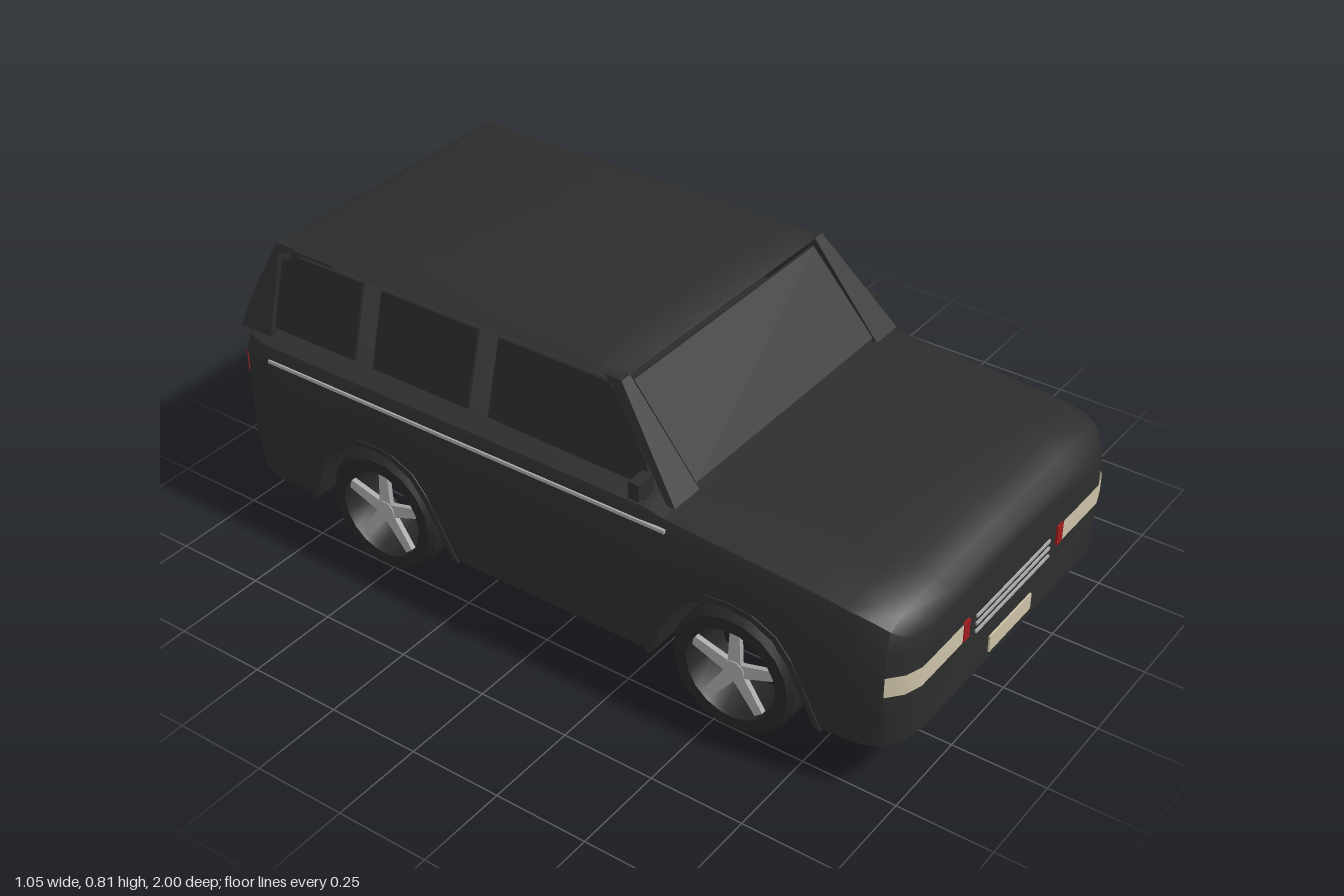
import * as THREE from 'three';
import { toCreasedNormals } from 'three/addons/utils/BufferGeometryUtils.js';

const mat = (name, color, side = THREE.FrontSide) =>
  new THREE.MeshStandardMaterial({ name, color, side });

// Piecewise linear lookup in a table sorted by ascending key
function lookup(table, k) {
  if (k <= table[0][0]) return table[0][1];
  for (let i = 1; i < table.length; i++) {
    const [k0, v0] = table[i - 1], [k1, v1] = table[i];
    if (k <= k1) return v0 + (v1 - v0) * (k - k0) / (k1 - k0);
  }
  return table[table.length - 1][1];
}

// Skin through half-sections (top centre to bottom centre), mirrored in x, z descending
function loft(zs, half) {
  const pos = [], idx = [];
  let n = 0;
  for (const z of zs) {
    const h = half(z);
    const ring = [...h, ...h.slice(1, -1).reverse().map(([x, y]) => [-x, y])];
    n = ring.length;
    for (const [x, y] of ring) pos.push(x, y, z);
  }
  for (let i = 0; i < zs.length - 1; i++)
    for (let j = 0; j < n; j++) {
      const a = i * n + j, b = i * n + (j + 1) % n;
      idx.push(a, b, a + n, b, b + n, a + n);
    }
  const last = (zs.length - 1) * n;
  for (let k = 1; k < n - 1; k++) idx.push(0, k + 1, k, last, last + k, last + k + 1);
  const g = new THREE.BufferGeometry();
  g.setAttribute('position', new THREE.Float32BufferAttribute(pos, 3));
  g.setIndex(idx);
  return toCreasedNormals(g, 0.6);
}

// Side panel from a [z, y] outline, spanning inner(y)..outer(y) on one side
function sidePanel(points, outer, inner, side) {
  const shape = new THREE.Shape(points.map(([z, y]) => new THREE.Vector2(-z, y)));
  const g = new THREE.ExtrudeGeometry(shape, { depth: 1, bevelEnabled: false });
  const p = g.attributes.position;
  for (let i = 0; i < p.count; i++) {
    const y = p.getY(i), t = side > 0 ? p.getZ(i) : 1 - p.getZ(i);
    p.setXYZ(i, side * (inner(y) + (outer(y) - inner(y)) * t), y, -p.getX(i));
  }
  g.computeVertexNormals();
  return g;
}

// Upright strip following a plan path of [x, z] points
function band(path, y0, y1) {
  const g = new THREE.PlaneGeometry(1, 1, path.length - 1, 1), p = g.attributes.position;
  for (let i = 0; i < p.count; i++) {
    const [x, z] = path[i % path.length];
    p.setXYZ(i, x, i < path.length ? y1 : y0, z);
  }
  g.computeVertexNormals();
  return g;
}

export function createModel() {
  const paint = mat('black paint', 0x2d2d2d);
  const glass = mat('dark glass', 0x292929);
  const rubber = mat('tyre rubber', 0x262626);
  const metal = mat('bright metal', 0xa8a8a8);
  const cream = mat('cream lens', 0xcbc1a6, THREE.DoubleSide);
  const red = mat('red lens', 0xa01c1e, THREE.DoubleSide);

  const model = new THREE.Group();
  model.name = 'car';
  const add = (name, geo, material, parent = model) => {
    const m = new THREE.Mesh(geo, material);
    m.name = name;
    parent.add(m);
    return m;
  };
  const box = (name, material, size, at) => {
    const m = add(name, new THREE.BoxGeometry(...size), material);
    m.position.set(...at);
    return m;
  };

  // Lower body with wheel arches cut through its full width
  const axles = [0.55, -0.52];
  const arch = [[0, 0.372], [0.06, 0.365], [0.12, 0.335], [0.16, 0.285], [0.195, 0.21], [0.23, 0.12]];
  const topLine = [[-0.995, 0.5], [-0.985, 0.55], [-0.96, 0.57], [0.3, 0.57], [0.36, 0.56],
    [0.8, 0.532], [0.9, 0.52], [0.95, 0.5], [0.98, 0.475], [0.995, 0.45]];
  const floorLine = [[-0.995, 0.15], [-0.96, 0.125], [-0.9, 0.12], [0.8, 0.12], [0.95, 0.135], [0.995, 0.155]];
  const widthLine = [[0.85, 0.52], [0.9, 0.517], [0.95, 0.502], [0.98, 0.465], [0.995, 0.42]];
  const ends = [0.995, 0.98, 0.95, 0.9, 0.85];
  const stations = [...ends, 0.36, 0.3, 0, ...ends.map(z => -z), -0.96, -0.985];
  for (const c of axles)
    for (const [d] of arch) stations.push(c + d, ...(d ? [c - d] : []));
  const zs = [...new Set(stations)].sort((a, b) => b - a);
  add('body', loft(zs, z => {
    const d = Math.min(...axles.map(c => Math.abs(z - c)));
    const yt = lookup(topLine, z), w = lookup(widthLine, Math.abs(z));
    const yb = d < 0.23 ? lookup(arch, d) : lookup(floorLine, z);
    const ym = Math.max(0.25, yb + 0.01);
    const wb = w - Math.max(0, 0.25 - yb) * 0.14;
    return [[0, yt], [w * 0.6, yt - 0.003], [w * 0.88, yt - 0.01], [w * 0.97, yt - 0.03],
      [w, yt - 0.07], [w, ym], [wb, yb + 0.005], [wb - 0.03, yb], [0, yb]];
  }), paint);

  // Roof slab
  const roofLine = [[-0.895, 0.79], [-0.87, 0.804], [-0.82, 0.815], [0.09, 0.815], [0.14, 0.806], [0.18, 0.79]];
  add('roof', loft(roofLine.map(r => r[0]).reverse(), z => {
    const yt = lookup(roofLine, z), h = yt - 0.785;
    return [[0, yt], [0.2, yt - h * 0.05], [0.33, yt - h * 0.2], [0.388, yt - h * 0.4], [0.416, 0.785], [0, 0.785]];
  }), paint);

  const lean = y => 0.48 - (y - 0.55) * 0.27;
  const windows = [
    ['frontSideGlass', [[0.3, 0.572], [0.275, 0.63], [0.175, 0.745], [0.145, 0.774], [-0.18, 0.774], [-0.18, 0.578]]],
    ['middleSideGlass', [[-0.242, 0.578], [-0.242, 0.774], [-0.545, 0.774], [-0.545, 0.578]]],
    ['rearSideGlass', [[-0.605, 0.578], [-0.605, 0.774], [-0.82, 0.774], [-0.872, 0.75], [-0.872, 0.578]]],
  ];
  for (const s of [1, -1]) {
    const tag = s > 0 ? 'left' : 'right';
    const side = new THREE.Group();
    side.name = tag + 'Side';
    model.add(side);

    // Pillars and side glass
    add('frontPillar', sidePanel([[0.375, 0.552], [0.18, 0.79], [0.13, 0.792], [0.155, 0.772], [0.352, 0.552]],
      y => lean(y) + 0.005, () => 0.388, s), paint, side);
    add('rearPillar', sidePanel([[-0.883, 0.552], [-0.883, 0.762], [-0.84, 0.785], [-0.84, 0.792],
      [-0.893, 0.792], [-0.95, 0.66], [-0.983, 0.552]], y => lean(y) + 0.003, y => lean(y) - 0.045, s), paint, side);
    for (const [name, pts] of windows)
      add(name, sidePanel(pts, lean, y => lean(y) - 0.008, s), glass, side);

    // Wheel arch lips
    for (const c of axles) {
      const right = arch.slice(1).map(([d, y]) => [d, y]);
      const inner = [...right.slice().reverse().map(([d, y]) => [c - d, y]), [c, 0.372], ...right.map(([d, y]) => [c + d, y])];
      const rim = inner.map(([z, y]) => [c + (z - c) * 1.07, y === 0.12 ? y : y + 0.016]).reverse();
      const out = y => 0.523 - Math.max(0, 0.25 - y) * 0.14;
      add('archLip', sidePanel([...inner, ...rim], out, y => out(y) - 0.02, s), paint, side);
    }

    // Door mirror
    box(tag + 'Mirror', paint, [0.058, 0.046, 0.03], [s * 0.492, 0.583, 0.285]);
    box(tag + 'MirrorArm', paint, [0.03, 0.03, 0.02], [s * 0.475, 0.553, 0.285]);

    // Bright side strip
    box(tag + 'SideStrip', metal, [0.008, 0.009, 1.23], [s * 0.517, 0.506, -0.245]);

    // Lights wrapping around the corners
    const head = [[0.24, 0.999], [0.421, 0.999], [0.468, 0.984], [0.506, 0.952]];
    const tail = [[0.31, -0.999], [0.421, -0.999], [0.468, -0.984], [0.49, -0.967]];
    add('headlight', band(head.map(([x, z]) => [s * x, z]), 0.3, 0.355), cream, side);
    add('tailLight', band(tail.map(([x, z]) => [s * x, z]), 0.42, 0.48), red, side);
    box(tag + 'Indicator', red, [0.026, 0.055, 0.008], [s * 0.224, 0.327, 0.996]);
  }

  // Windscreen and rear window, tilted thin plates
  const plate = (name, halfLow, halfHigh, [z0, y0], [z1, y1]) => {
    const g = new THREE.BoxGeometry(1, 1, 0.008), p = g.attributes.position;
    for (let i = 0; i < p.count; i++) {
      const up = p.getY(i) > 0;
      p.setXYZ(i, p.getX(i) * 2 * (up ? halfHigh : halfLow), up ? y1 : y0, p.getZ(i) + (up ? z1 : z0));
    }
    g.computeVertexNormals();
    add(name, g, glass);
  };
  plate('windscreen', 0.385, 0.378, [0.36, 0.564], [0.18, 0.773]);
  plate('rearWindow', 0.425, 0.368, [-0.972, 0.575], [-0.9, 0.768]);

  // Grille bars and number plates
  for (const y of [0.29, 0.313, 0.335]) box('grilleBar', metal, [0.352, 0.007, 0.008], [0, y, 0.996]);
  box('frontPlate', cream, [0.2, 0.046, 0.008], [0, 0.203, 0.996]);
  box('rearPlate', cream, [0.2, 0.05, 0.008], [0, 0.34, -0.996]);

  // Wheels: open tyre ring with a five-spoke star
  const profile = [[0.125, -0.075], [0.158, -0.075], [0.17, -0.06], [0.17, 0.06], [0.158, 0.075],
    [0.125, 0.075], [0.122, 0.06], [0.122, -0.06], [0.125, -0.075]].map(p => new THREE.Vector2(...p));
  const tyre = toCreasedNormals(new THREE.LatheGeometry(profile, 18).rotateZ(-Math.PI / 2), 0.5);
  const spoke = new THREE.ExtrudeGeometry(new THREE.Shape([[-0.019, 0], [0.019, 0], [0.013, 0.124], [-0.013, 0.124]]
    .map(p => new THREE.Vector2(...p))), { depth: 0.014, bevelEnabled: false }).translate(0, 0, -0.007).rotateY(Math.PI / 2);
  const hub = new THREE.CylinderGeometry(0.03, 0.03, 0.02, 10).rotateZ(Math.PI / 2);
  for (const z of axles)
    for (const s of [1, -1]) {
      const wheel = new THREE.Group();
      wheel.name = (z > 0 ? 'front' : 'rear') + (s > 0 ? 'Left' : 'Right') + 'Wheel';
      wheel.position.set(s * 0.435, 0.17, z);
      model.add(wheel);
      add('tyre', tyre, rubber, wheel);
      add('hub', hub, metal, wheel).position.x = s * 0.052;
      for (let i = 0; i < 5; i++) {
        const m = add('spoke', spoke, metal, wheel);
        m.position.x = s * 0.052;
        m.rotation.x = i * Math.PI * 2 / 5;
      }
    }
  return model;
}
